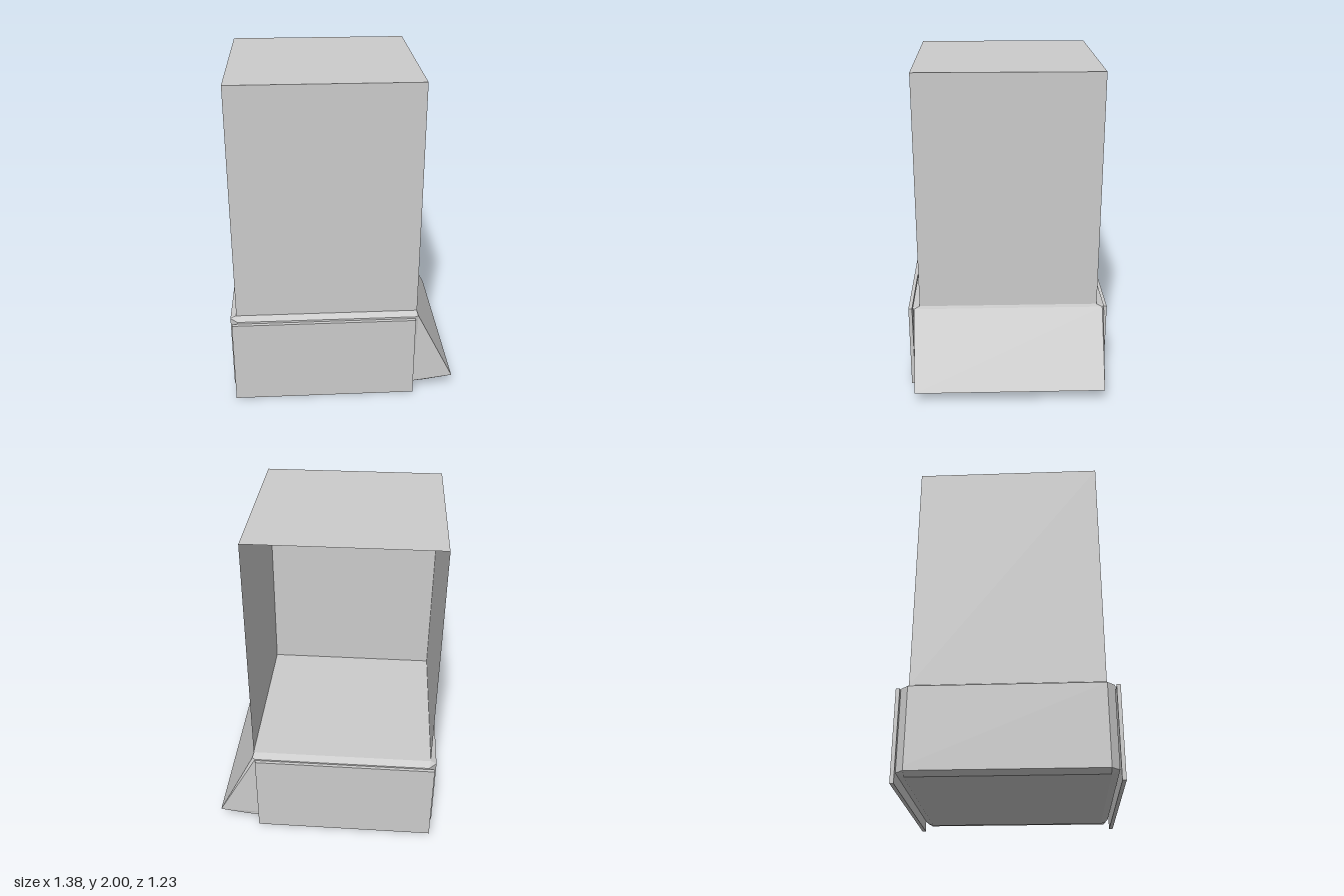
import * as THREE from 'three';

const material = new THREE.MeshStandardMaterial({
  color: 0xcccccc, flatShading: true, side: THREE.DoubleSide,
});

function addMesh(group, geometry, name, x = 0, y = 0, z = 0) {
  const mesh = new THREE.Mesh(geometry, material);
  mesh.name = name;
  mesh.position.set(x, y, z);
  group.add(mesh);
}

// Joins rings of equal point count, listed from bottom to top, and caps both ends
function loft(rings) {
  const n = rings[0].length;
  const index = [];
  for (let r = 0; r < rings.length - 1; r++) {
    for (let i = 0; i < n; i++) {
      const a = r * n + i, b = r * n + (i + 1) % n;
      index.push(a, b, b + n, a, b + n, a + n);
    }
  }
  const top = (rings.length - 1) * n;
  for (let i = 1; i < n - 1; i++) {
    index.push(0, i + 1, i, top, top + i, top + i + 1);
  }
  const indexed = new THREE.BufferGeometry();
  indexed.setAttribute('position', new THREE.Float32BufferAttribute(rings.flat(2), 3));
  indexed.setIndex(index);
  const geometry = indexed.toNonIndexed();
  geometry.computeVertexNormals();
  return geometry;
}

// Full-width ring with chamfered left corners; xR is the reach of the ramp side
const wideRing = (y, xR, zFront, zBack) => [
  [-0.69, y, 0.54], [-0.645, y, 0.585], [0.435, y, 0.585], [xR, y, zFront],
  [xR, y, zBack], [0.435, y, -0.597], [-0.645, y, -0.597], [-0.69, y, -0.55],
];

// Inset ring for the bevelled top and bottom faces
const insetRing = (y, xR) => [
  [-0.655, y, 0.538], [-0.65, y, 0.54], [0.435, y, 0.54], [xR, y, 0.538],
  [xR, y, -0.548], [0.435, y, -0.55], [-0.65, y, -0.55], [-0.655, y, -0.548],
];

export function createModel() {
  const model = new THREE.Group();
  model.name = 'model';

  // Bevelled base whose right side flares out into a sloping ramp
  addMesh(model, loft([
    insetRing(0.04, 0.45),
    wideRing(0.065, 0.51, 0.575, -0.59),
    wideRing(0.09, 0.685, 0.573, -0.59),
    wideRing(0.545, 0.455, 0.575, -0.585),
    insetRing(0.563, 0.448),
  ]), 'rampedBase');

  // Tall hollow cabin, open at the back (the last box face is dropped)
  const cabin = new THREE.BoxGeometry(1.104, 1.437, 1.09);
  cabin.setIndex(Array.from(cabin.index.array).slice(0, 30));
  cabin.clearGroups();
  addMesh(model, cabin, 'openCabin', -0.102, 1.2815, -0.005);

  // Side plates reaching down to the ground
  for (const [name, z] of [['frontPlate', 0.601], ['backPlate', -0.606]]) {
    addMesh(model, new THREE.BoxGeometry(1.112, 0.536, 0.022), name, -0.122, 0.268, z);
  }

  return model;
}
